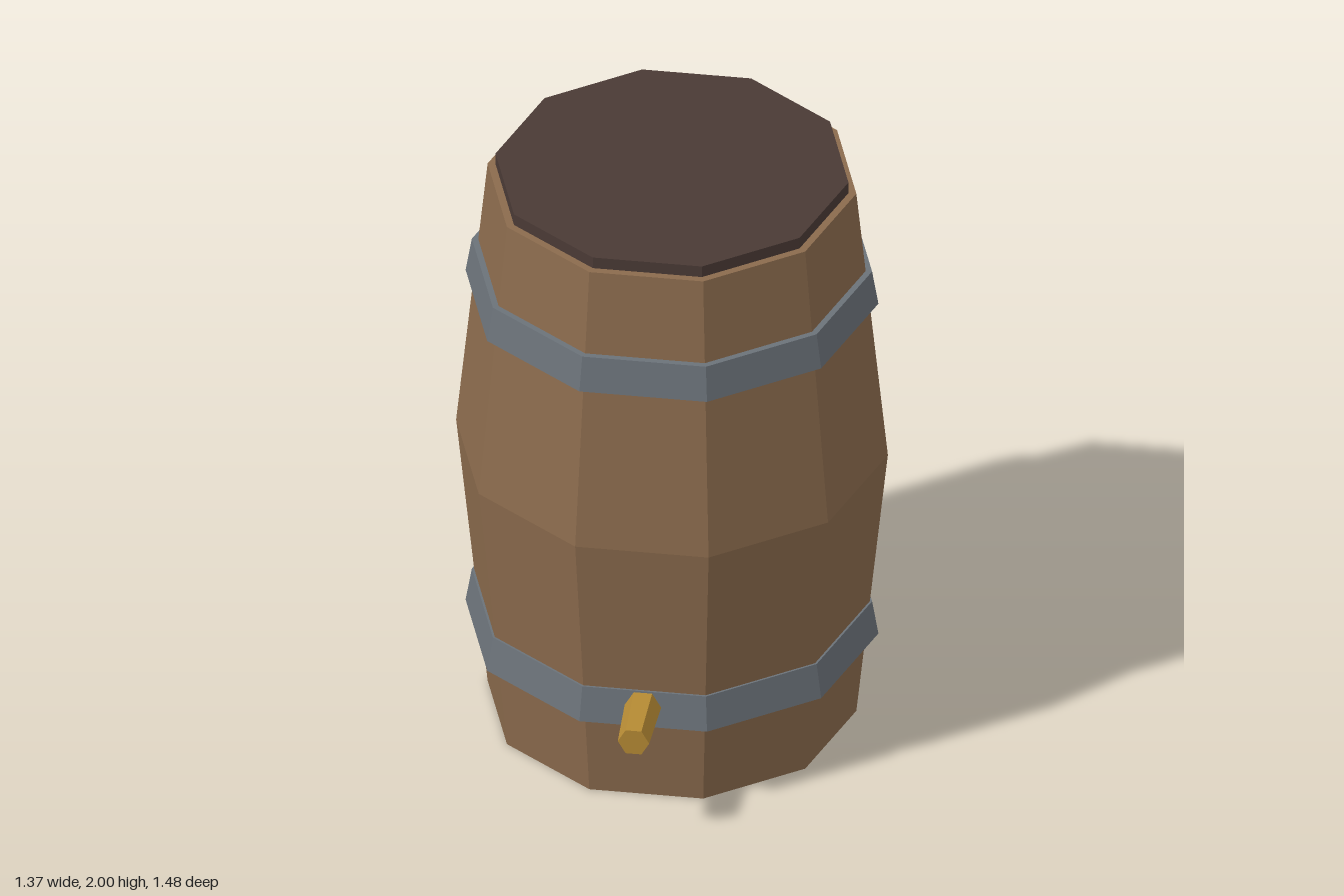
import * as THREE from 'three';

const SIDES = 10;
const BODY_Z = -0.09;

function material(name, color) {
  const m = new THREE.MeshStandardMaterial({ color, flatShading: true });
  m.name = name;
  return m;
}

// Ten-sided solid from [radius, y] points, with flat faces towards front and back
function staveSolid(name, profile, mat) {
  const points = profile.map(([r, y]) => new THREE.Vector2(r, y));
  const mesh = new THREE.Mesh(new THREE.LatheGeometry(points, SIDES, Math.PI / SIDES), mat);
  mesh.name = name;
  mesh.position.z = BODY_Z;
  return mesh;
}

export function createModel() {
  const wood = material('wood', 0x8b6b4d);
  const darkWood = material('dark wood', 0x4a3a35);
  const iron = material('iron', 0x6b7279);
  const brass = material('brass', 0xb58a34);

  const barrel = new THREE.Group();
  barrel.name = 'barrel';

  // Bulging body and raised lid
  barrel.add(staveSolid('body', [[0, 0], [0.585, 0], [0.685, 0.98], [0.585, 1.96], [0, 1.96]], wood));
  barrel.add(staveSolid('lid', [[0, 1.92], [0.56, 1.92], [0.56, 2], [0, 2]], darkWood));

  // Hoops, both slightly narrower at the top
  for (const [name, y] of [['lowerHoop', 0.3], ['upperHoop', 1.55]]) {
    barrel.add(staveSolid(name, [[0, y], [0.655, y], [0.635, y + 0.12], [0, y + 0.12]], iron));
  }

  // Hexagonal tap pointing forwards, tapering towards its end
  const tapGeometry = new THREE.CylinderGeometry(0.05, 0.058, 0.205, 6);
  tapGeometry.rotateY(Math.PI / 6).rotateX(Math.PI / 2);
  const tap = new THREE.Mesh(tapGeometry, brass);
  tap.name = 'tap';
  tap.position.set(0, 0.38, 0.64);
  barrel.add(tap);

  return barrel;
}
